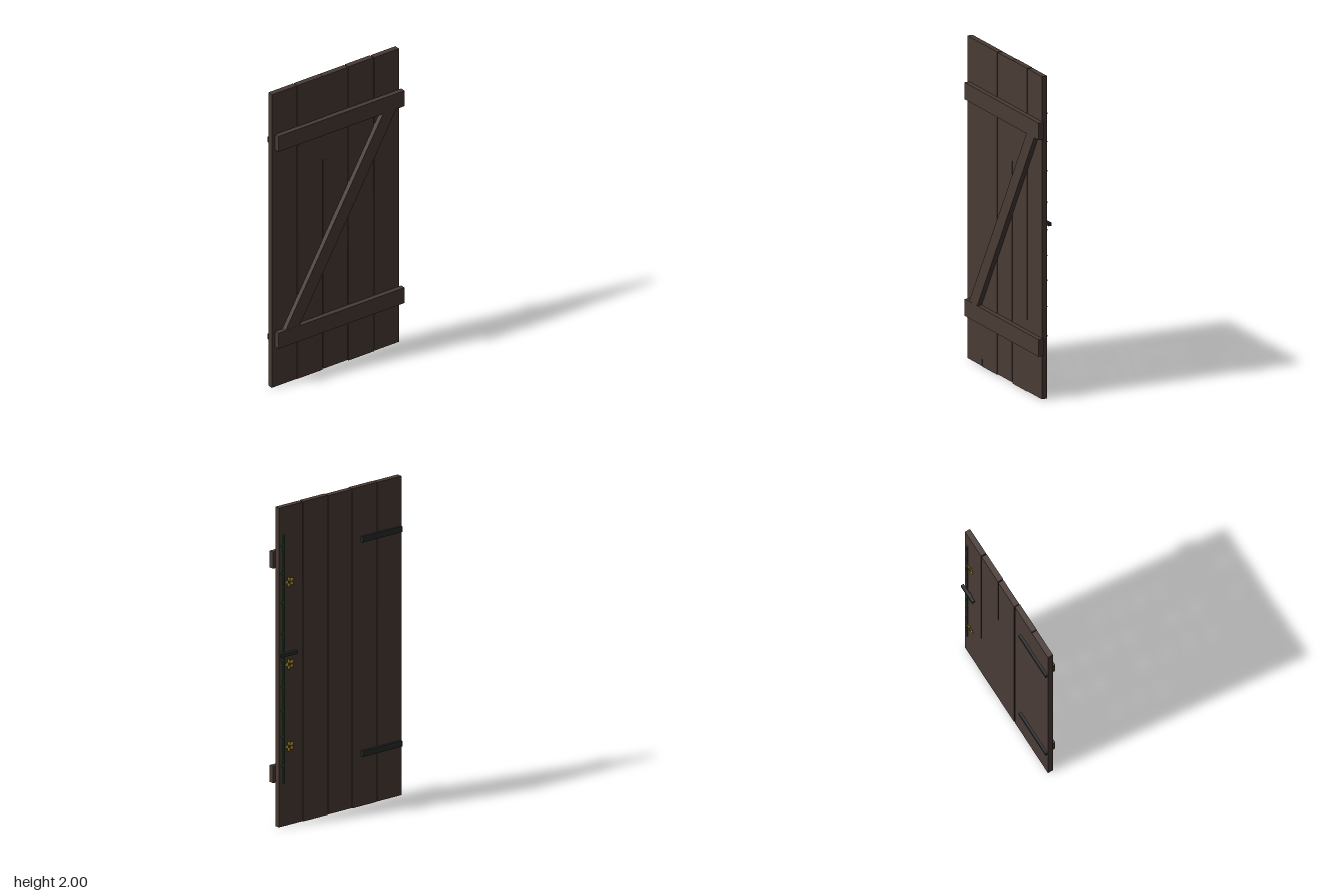
import * as THREE from 'three';

const material = (name, color) => {
  const m = new THREE.MeshStandardMaterial({ color });
  m.name = name;
  return m;
};

export function createModel() {
  const wood = material('dark wood', 0x493b35);
  const iron = material('black iron', 0x292c2d);
  const green = material('vine green', 0x1f4d2e);
  const yellow = material('petal yellow', 0xb8972f);
  const brown = material('flower centre brown', 0x4a3516);

  const door = new THREE.Group();
  door.name = 'plankDoor';

  const add = (name, geometry, mat, x = 0, y = 0, z = 0, parent = door) => {
    const mesh = new THREE.Mesh(geometry, mat);
    mesh.name = name;
    mesh.position.set(x, y, z);
    parent.add(mesh);
    return mesh;
  };
  // Box given by its limits on each axis
  const box = (name, mat, [x0, x1], [y0, y1], [z0, z1]) =>
    add(name, new THREE.BoxGeometry(x1 - x0, y1 - y0, z1 - z0), mat,
      (x0 + x1) / 2, (y0 + y1) / 2, (z0 + z1) / 2);
  // Flat outline given a thickness, starting at z0
  const slab = (name, points, z0, depth) => {
    const shape = new THREE.Shape(points.map(([x, y]) => new THREE.Vector2(x, y)));
    return add(name, new THREE.ExtrudeGeometry(shape, { depth, bevelEnabled: false }), wood, 0, 0, z0);
  };

  // Five slightly uneven planks: left and right edge at the bottom, then at the top, bottom y, z shift
  const planks = [
    [-0.475, -0.292, -0.475, -0.293, 0.004, 0],
    [-0.287, -0.105, -0.289, -0.102, 0.002, 0.001],
    [-0.098, 0.081, -0.098, 0.08, 0.006, -0.001],
    [0.087, 0.274, 0.085, 0.269, 0, 0],
    [0.277, 0.456, 0.276, 0.455, 0.003, 0],
  ];
  planks.forEach(([b0, b1, t0, t1, y0, dz], i) =>
    slab(`plank${i + 1}`, [[b0, y0], [b1, y0], [t1, 2 - y0 / 2], [t0, 2 - y0 / 2]], -0.021 + dz, 0.035));

  // Z-shaped bracing on the front
  box('lowerRail', wood, [-0.45, 0.473], [0.275, 0.38], [0.013, 0.045]);
  box('upperRail', wood, [-0.45, 0.473], [1.615, 1.72], [0.013, 0.045]);
  slab('diagonalBrace', [[-0.397, 0.38], [-0.295, 0.38], [0.415, 1.615], [0.318, 1.615]], 0.013, 0.031);

  // Strap hinges and latch on the back
  for (const [name, y] of [['lowerHinge', 0.33], ['upperHinge', 1.67]])
    box(name, iron, [-0.47, -0.17], [y - 0.018, y + 0.018], [-0.035, -0.02]);
  box('latch', iron, [0.336, 0.463], [1.069, 1.09], [-0.045, -0.026]);
  box('latchPost', iron, [0.375, 0.395], [1.071, 1.088], [-0.03, -0.018]);

  // Vine stem with small leaves
  const vine = new THREE.Group();
  vine.name = 'vine';
  door.add(vine);
  add('vineStem', new THREE.CylinderGeometry(0.005, 0.005, 1.55, 6), green, 0.425, 1.05, -0.025, vine);
  const leafGeometry = new THREE.SphereGeometry(0.013, 8, 6);
  [0.384, 0.565, 0.728, 0.88, 1.04, 1.21, 1.405, 1.586, 1.76].forEach((y, i) => {
    const leaf = add(`leaf${i + 1}`, leafGeometry, green, 0.433, y, -0.027, vine);
    leaf.scale.set(1, 0.65, 0.4);
    leaf.rotation.z = 0.4;
  });

  // Five-petalled flowers
  const petalGeometry = new THREE.SphereGeometry(0.013, 8, 6);
  const centreGeometry = new THREE.SphereGeometry(0.009, 8, 6);
  [0.497, 1.01, 1.525].forEach((y, i) => {
    const flower = new THREE.Group();
    flower.name = `flower${i + 1}`;
    flower.position.set(0.382, y, -0.029);
    door.add(flower);
    for (let k = 0; k < 5; k++) {
      const a = (k / 5) * Math.PI * 2;
      const petal = add(`petal${k + 1}`, petalGeometry, yellow,
        Math.cos(a) * 0.02, Math.sin(a) * 0.02, 0, flower);
      petal.scale.set(1.1, 0.85, 0.35);
      petal.rotation.z = a;
    }
    add('flowerCentre', centreGeometry, brown, 0, 0, -0.002, flower).scale.z = 0.5;
  });

  return door;
}
